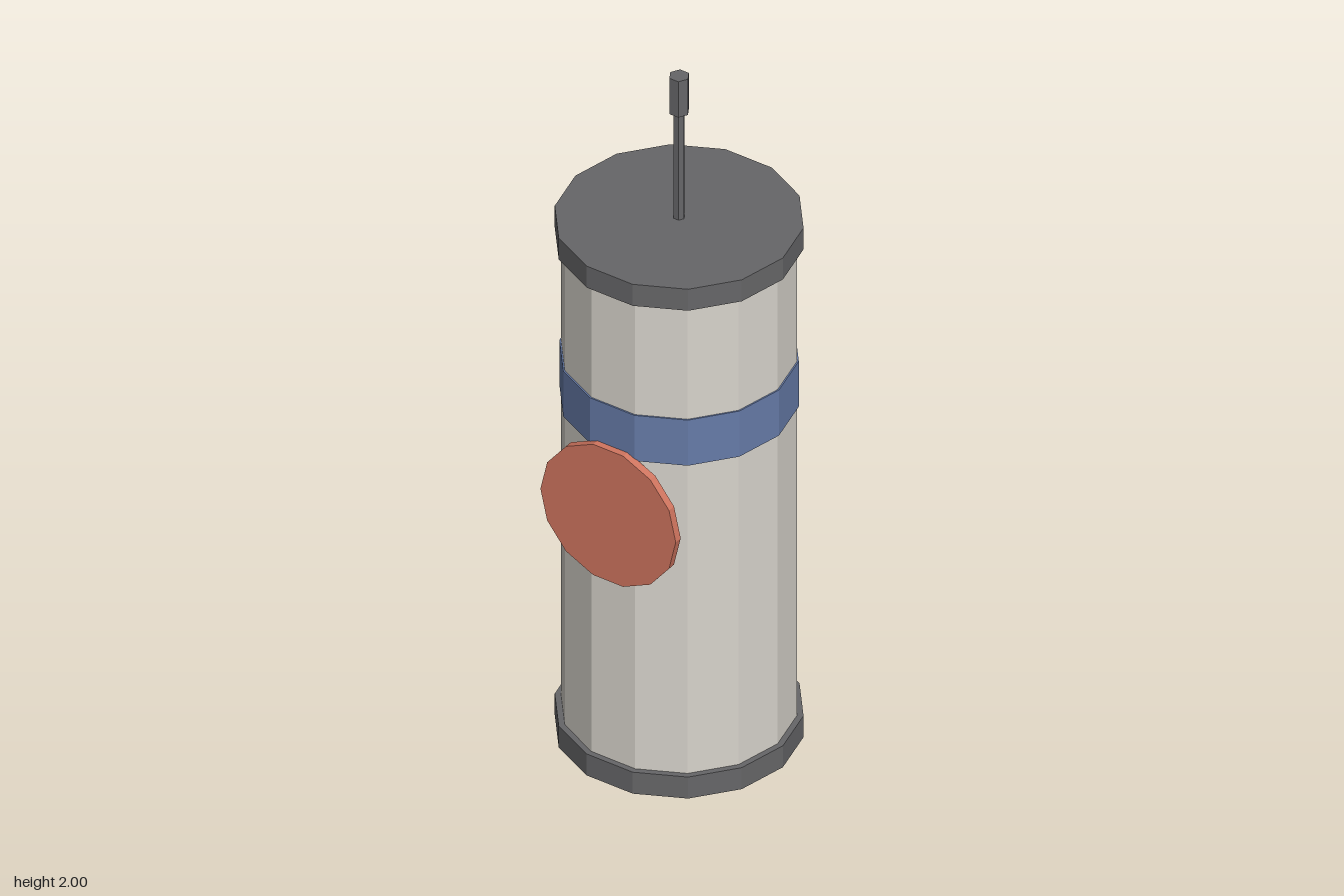
import * as THREE from 'three';

const material = (name, color) => {
  const m = new THREE.MeshStandardMaterial({ color, flatShading: true });
  m.name = name;
  return m;
};

export function createModel() {
  const model = new THREE.Group();
  model.name = 'canister';
  const shell = material('warm light grey', 0xd8d4cc);
  const dark = material('dark grey', 0x666668);
  const blue = material('muted blue', 0x667ba8);
  const red = material('terracotta red', 0xd0755f);
  const axisZ = -0.004;

  // Upright prism from y0 to y1, turned so a flat side faces the front
  const prism = (name, radius, y0, y1, sides, mat) => {
    const geometry = new THREE.CylinderGeometry(radius, radius, y1 - y0, sides);
    geometry.rotateY(Math.PI / sides);
    const mesh = new THREE.Mesh(geometry, mat);
    mesh.name = name;
    mesh.position.set(0, (y0 + y1) / 2, axisZ);
    model.add(mesh);
    return mesh;
  };

  // Body with its end caps and stripe
  prism('body', 0.3, 0.03, 1.53, 14, shell);
  prism('baseCap', 0.316, 0, 0.066, 14, dark);
  prism('topCap', 0.316, 1.5, 1.566, 14, dark);
  prism('band', 0.304, 1.015, 1.155, 14, blue);

  // Antenna
  prism('antennaRod', 0.015, 1.56, 1.9, 6, dark);
  prism('antennaTip', 0.027, 1.89, 2, 6, dark);

  // Round front disc, tipped to face forward
  const disc = prism('frontDisc', 0.206, 0, 0.022, 14, red);
  disc.rotation.x = Math.PI / 2;
  disc.position.set(0, 0.831, 0.3);

  return model;
}
